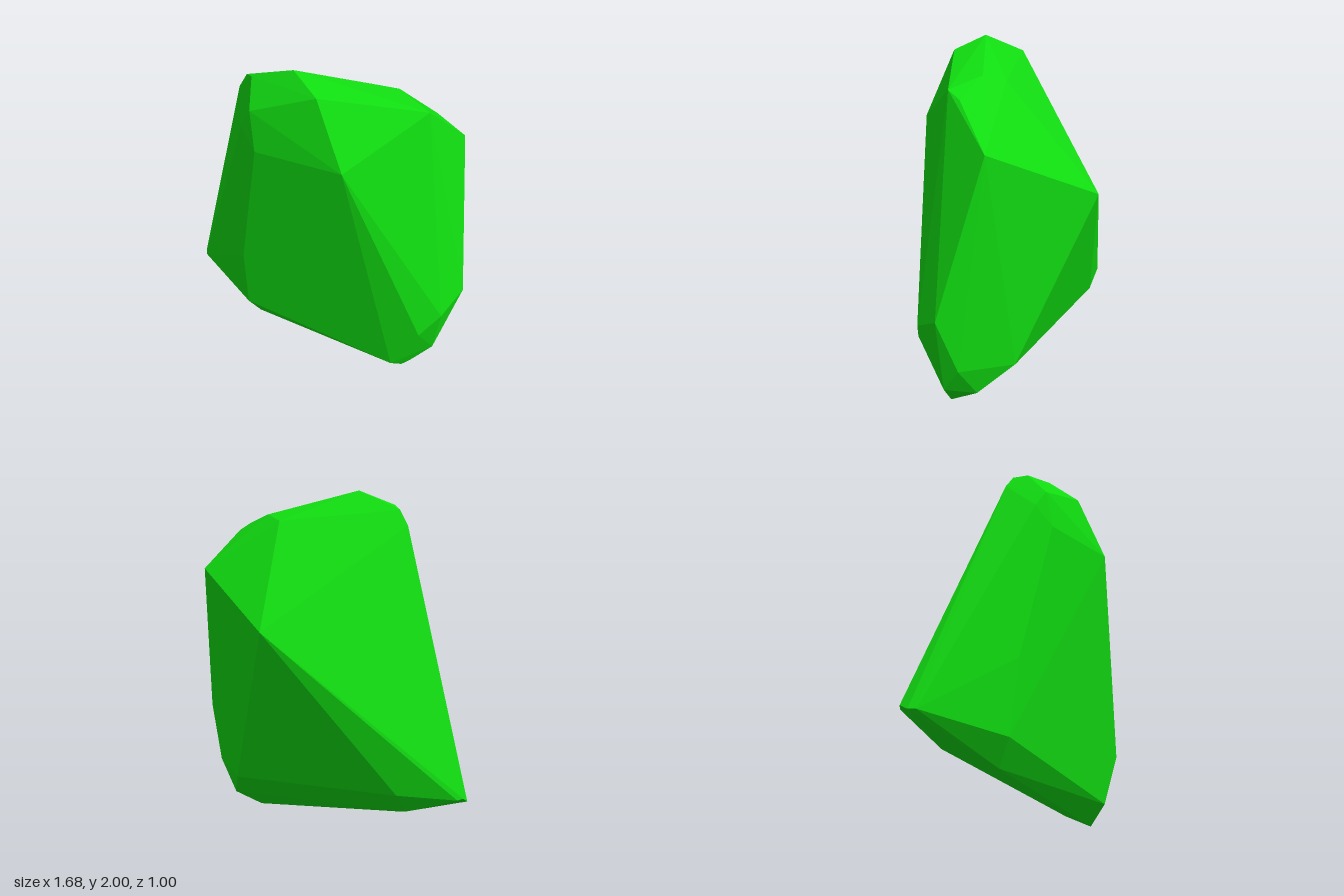
import * as THREE from 'three';
import { ConvexGeometry } from 'three/addons/geometries/ConvexGeometry.js';

// Corners of the faceted stone, grouped by region
const crown = [
  [-0.13, 2.0, 0.22], [-0.03, 1.97, 0.2], [0, 1.93, 0.37], [-0.36, 1.91, 0.14], [-0.4, 1.88, 0.06],
  [-0.45, 1.79, 0.03], [-0.36, 1.77, 0.25], [0.4, 1.86, 0.1],
  [0.3, 1.82, 0], [0.56, 1.81, 0.24], [0.6, 1.77, 0.17],
];
const girdle = [
  [0.14, 1.58, 0.5], [-0.34, 1.54, 0.28], [-0.42, 1.65, 0.2],
  [0.77, 1.54, 0], [0.27, 1.22, -0.5], [0.84, 0.65, 0.26],
  [0.72, 0.56, 0.4], [0.6, 0.43, 0.44], [-0.48, 0.68, 0.12],
];
const leftTip = [
  [-0.84, 0.31, -0.33], [-0.83, 0.31, -0.29], [-0.82, 0.34, -0.38],
  [-0.79, 0.33, -0.39], [-0.46, 0.33, -0.38], [-0.5, 0.21, -0.28],
];
const foot = [
  [-0.48, 0.25, 0.07], [-0.42, 0.11, 0], [0.45, 0.11, 0.38],
  [0.52, 0, 0.28], [0.57, 0.03, 0.27], [0.44, 0.05, 0.15],
  [0.63, 0.13, 0.1], [0.7, 0.17, 0.27], [0.75, 0.32, 0.17], [0.55, 0.29, -0.1],
];

export function createModel() {
  const group = new THREE.Group();
  group.name = 'crystalRock';

  // One closed faceted body
  const points = [...crown, ...girdle, ...leftTip, ...foot].map((p) => new THREE.Vector3(...p));
  const stone = new THREE.Mesh(
    new ConvexGeometry(points),
    new THREE.MeshStandardMaterial({ color: 0x11dd11, flatShading: true }),
  );
  stone.name = 'stone';
  group.add(stone);
  return group;
}
